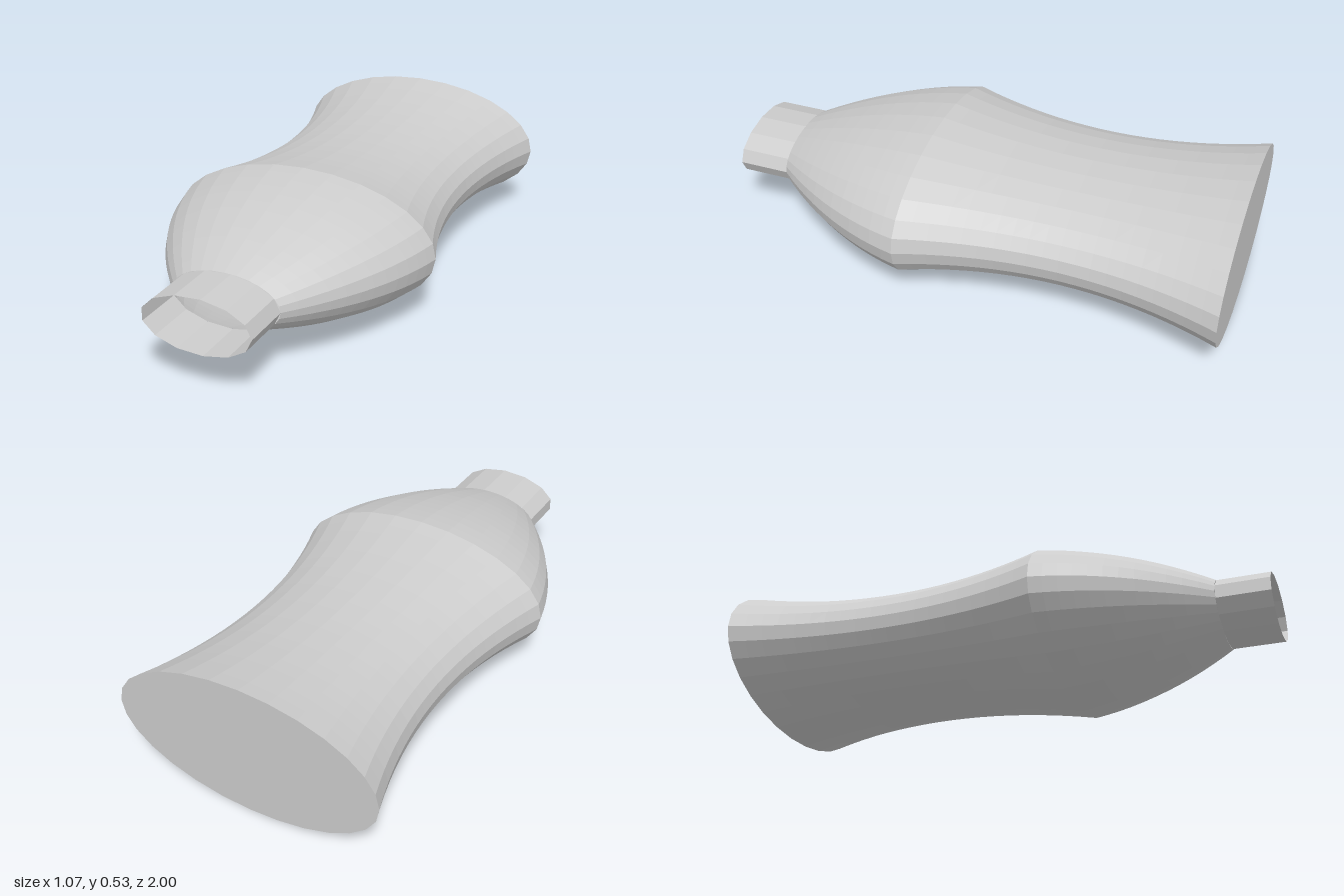
import * as THREE from 'three';

const CENTRE_Y = 0.267;

// Half width of the flask at depth z
function halfWidth(z) {
  if (z <= 0.2) return 0.423 + 0.11 * ((z + 0.4) / 0.6) ** 2; // waisted body
  const t = (z - 0.2) / 0.6;
  return 0.533 - 0.122 * t - 0.201 * t * t; // rounded shoulder
}

// Profile points from z = a to z = b
function profile(a, b, steps) {
  return Array.from({ length: steps + 1 }, (_, i) => {
    const z = a + ((b - a) * i) / steps;
    return new THREE.Vector2(halfWidth(z), z);
  });
}

export function createModel() {
  const group = new THREE.Group();
  const material = new THREE.MeshStandardMaterial({
    color: 0xcccccc, flatShading: true, side: THREE.DoubleSide,
  });

  // Lathed section laid along z and flattened to an ellipse
  function addSection(name, points, sides) {
    const geometry = new THREE.LatheGeometry(points, sides, Math.PI / 2);
    geometry.rotateX(Math.PI / 2).scale(1, 0.5, 1).translate(0, CENTRE_Y, 0);
    const mesh = new THREE.Mesh(geometry, material);
    mesh.name = name;
    group.add(mesh);
  }

  // Flat closed base
  addSection('base', [new THREE.Vector2(0, -1), new THREE.Vector2(0.533, -1)], 28);
  // Waisted body and shoulder
  addSection('body', profile(-1, 0.2, 20), 28);
  addSection('shoulder', profile(0.2, 0.8, 12), 28);
  // Open neck
  addSection('neck', [new THREE.Vector2(0.21, 0.8), new THREE.Vector2(0.21, 1)], 13);

  return group;
}
